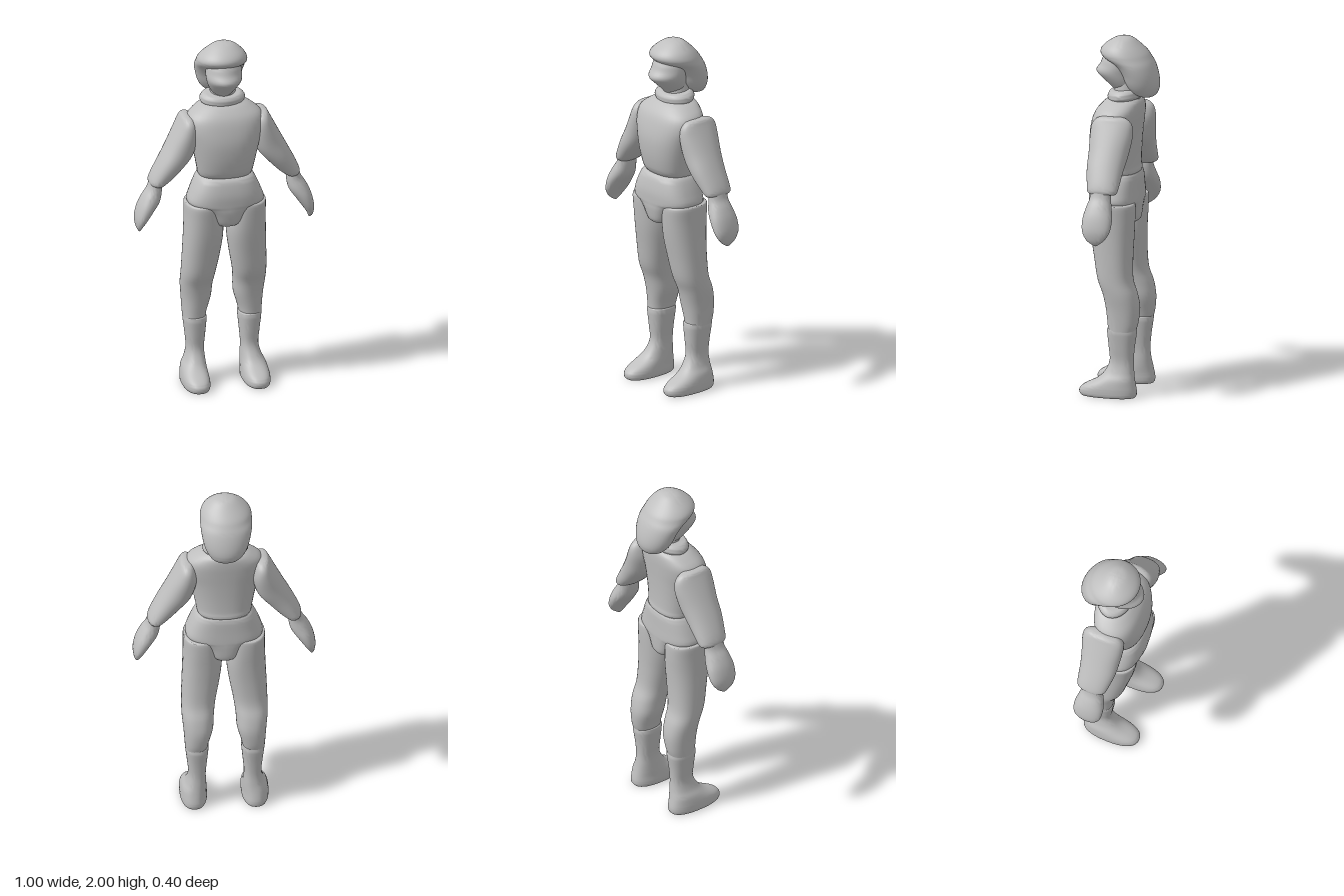
import * as THREE from 'three';
import { toCreasedNormals } from 'three/addons/utils/BufferGeometryUtils.js';

const SEG = 36;

// Smooth interpolation between four values
function spline(a, b, c, d, t) {
  const m0 = (c - a) / 2, m1 = (d - b) / 2;
  return (2 * t ** 3 - 3 * t * t + 1) * b + (t ** 3 - 2 * t * t + t) * m0
    + (3 * t * t - 2 * t ** 3) * c + (t ** 3 - t * t) * m1;
}

// Skin over cross-sections listed from top to bottom:
// [centre x, y, front z, back z, half width, sideways tilt]; power sets squareness
function loft(sections, { power = 2, steps = 4, crease = 0.9, side = 1 } = {}) {
  const rows = [], last = sections.length - 1;
  const at = i => sections[Math.max(0, Math.min(last, i))];
  for (let i = 0; i < last; i++) {
    for (let s = 0; s < steps; s++) {
      rows.push(at(i).map((_, k) => spline(at(i - 1)[k], at(i)[k], at(i + 1)[k], at(i + 2)[k], s / steps)));
    }
  }
  rows.push(sections[last]);
  const pos = [], idx = [];
  const bend = v => Math.sign(v) * Math.abs(v) ** (2 / power);
  for (const [cx, y, zf, zb, rx, tilt] of rows) {
    for (let j = 0; j < SEG; j++) {
      const a = j / SEG * Math.PI * 2;
      const u = bend(Math.cos(a)) * rx, w = bend(Math.sin(a)) * (zf - zb) / 2;
      const t = side * tilt;
      pos.push(side * cx + u * Math.cos(t), y + u * Math.sin(t), (zf + zb) / 2 + w);
    }
  }
  for (let i = 0; i < rows.length - 1; i++) {
    for (let j = 0; j < SEG; j++) {
      const k = (j + 1) % SEG, a = i * SEG + j, b = i * SEG + k;
      idx.push(a, b, a + SEG, b, b + SEG, a + SEG);
    }
  }
  // End caps
  const n = rows.length, base = (n - 1) * SEG;
  for (const r of [rows[0], rows[n - 1]]) pos.push(side * r[0], r[1], (r[2] + r[3]) / 2);
  for (let j = 0; j < SEG; j++) {
    const k = (j + 1) % SEG;
    idx.push(n * SEG, k, j, n * SEG + 1, base + j, base + k);
  }
  const g = new THREE.BufferGeometry();
  g.setAttribute('position', new THREE.Float32BufferAttribute(pos, 3));
  g.setIndex(idx);
  return toCreasedNormals(g, crease);
}

export function createModel() {
  const model = new THREE.Group();
  model.name = 'figure';
  const grey = new THREE.MeshStandardMaterial({ color: 0xbfbfbf });
  grey.name = 'grey plastic';
  const add = (name, geometry) => {
    const mesh = new THREE.Mesh(geometry, grey);
    mesh.name = name;
    model.add(mesh);
    return mesh;
  };

  // Hair: a swept-back cap, open over the face
  add('hair', loft([
    [0, 2.0, 0.015, -0.015, 0.012, 0],
    [0, 1.988, 0.055, -0.05, 0.06, 0],
    [-0.003, 1.95, 0.11, -0.095, 0.11, 0],
    [-0.007, 1.915, 0.132, -0.13, 0.136, 0],
    [-0.007, 1.885, 0.112, -0.15, 0.142, 0],
    [-0.007, 1.85, 0.05, -0.17, 0.142, 0],
    [-0.005, 1.8, 0.01, -0.188, 0.133, 0],
    [-0.004, 1.75, -0.01, -0.198, 0.12, 0],
    [-0.003, 1.71, -0.035, -0.196, 0.1, 0],
    [0, 1.68, -0.075, -0.18, 0.07, 0],
    [0, 1.665, -0.12, -0.15, 0.02, 0],
  ], { crease: 1.2 }));

  // Face with a pointed nose and receding chin
  add('face', loft([
    [-0.005, 1.92, 0.09, -0.08, 0.07, 0],
    [-0.005, 1.88, 0.118, -0.08, 0.094, 0],
    [-0.005, 1.84, 0.135, -0.08, 0.1, 0],
    [-0.005, 1.8, 0.158, -0.08, 0.098, 0],
    [-0.005, 1.76, 0.122, -0.08, 0.086, 0],
    [-0.005, 1.72, 0.078, -0.08, 0.066, 0],
    [-0.005, 1.69, 0.05, -0.08, 0.045, 0],
  ], { power: 1.9 }));

  add('neck', loft([
    [0, 1.76, 0.05, -0.09, 0.065, 0],
    [0, 1.62, 0.06, -0.09, 0.08, 0],
  ]));

  // Rolled collar, higher at the back
  const collar = add('collar', loft([
    [-0.005, 0.03, 0.065, -0.065, 0.085, 0],
    [-0.005, 0.025, 0.082, -0.082, 0.108, 0],
    [-0.005, 0, 0.095, -0.095, 0.127, 0],
    [-0.005, -0.025, 0.085, -0.085, 0.115, 0],
    [-0.005, -0.03, 0.07, -0.07, 0.09, 0],
  ], { crease: 1.3 }));
  collar.position.set(0, 1.675, -0.005);
  collar.rotation.x = 0.13;

  add('torso', loft([
    [0, 1.655, 0.075, -0.085, 0.11, 0],
    [0, 1.635, 0.105, -0.1, 0.15, 0],
    [0, 1.59, 0.143, -0.102, 0.205, 0],
    [0, 1.53, 0.166, -0.098, 0.213, 0],
    [0, 1.45, 0.18, -0.092, 0.192, 0],
    [0, 1.36, 0.176, -0.088, 0.172, 0],
    [0, 1.28, 0.16, -0.088, 0.156, 0],
    [0, 1.25, 0.145, -0.092, 0.15, 0],
    [0, 1.235, 0.13, -0.085, 0.142, 0],
  ], { power: 2.4 }));

  // Hips narrowing to the crotch
  add('hips', loft([
    [0, 1.242, 0.142, -0.088, 0.148, 0],
    [0, 1.22, 0.162, -0.096, 0.165, 0],
    [0, 1.15, 0.177, -0.098, 0.196, 0],
    [0, 1.09, 0.177, -0.1, 0.212, 0],
    [0, 1.07, 0.176, -0.1, 0.165, 0],
    [0, 1.04, 0.174, -0.099, 0.122, 0],
    [0, 0.985, 0.163, -0.095, 0.085, 0],
    [0, 0.965, 0.15, -0.085, 0.07, 0],
    [0, 0.957, 0.135, -0.07, 0.055, 0],
  ], { power: 2.7 }));

  for (const [label, side] of [['left', 1], ['right', -1]]) {
    // Sleeve
    add(label + 'Arm', loft([
      [0.205, 1.592, 0.05, -0.04, 0.022, 0.05],
      [0.205, 1.582, 0.09, -0.08, 0.036, 0.08],
      [0.205, 1.55, 0.118, -0.108, 0.05, 0.2],
      [0.215, 1.49, 0.126, -0.113, 0.068, 0.3],
      [0.252, 1.395, 0.122, -0.1, 0.078, 0.4],
      [0.305, 1.315, 0.117, -0.087, 0.068, 0.45],
      [0.355, 1.245, 0.102, -0.08, 0.055, 0.4],
      [0.38, 1.21, 0.092, -0.075, 0.044, 0.28],
      [0.385, 1.198, 0.08, -0.063, 0.036, 0.2],
    ], { side, power: 2.2 }));

    // Mitten-like hand
    add(label + 'Hand', loft([
      [0.385, 1.215, 0.07, -0.045, 0.034, 0.2],
      [0.392, 1.17, 0.075, -0.045, 0.041, 0.25],
      [0.412, 1.12, 0.09, -0.055, 0.05, 0.35],
      [0.443, 1.065, 0.1, -0.066, 0.045, 0.35],
      [0.469, 1.005, 0.095, -0.06, 0.033, 0.2],
      [0.48, 0.96, 0.07, -0.032, 0.017, 0.1],
      [0.479, 0.935, 0.038, 0, 0.006, 0],
      [0.478, 0.927, 0.022, 0.012, 0.002, 0],
    ], { side, power: 2.2 }));

    // Trouser leg
    add(label + 'Leg', loft([
      [0.125, 1.086, 0.15, -0.088, 0.092, 0],
      [0.125, 1.075, 0.163, -0.097, 0.1, 0],
      [0.121, 1.0, 0.158, -0.096, 0.104, 0],
      [0.12, 0.9, 0.146, -0.09, 0.108, 0],
      [0.13, 0.78, 0.125, -0.086, 0.103, 0],
      [0.143, 0.66, 0.102, -0.091, 0.094, 0],
      [0.148, 0.58, 0.072, -0.118, 0.088, 0],
      [0.147, 0.5, 0.055, -0.133, 0.081, 0],
      [0.155, 0.42, 0.044, -0.127, 0.067, 0],
      [0.158, 0.375, 0.04, -0.115, 0.061, 0],
    ], { side, power: 2.3 }));

    // Boot with a flat sole
    add(label + 'Boot', loft([
      [0.154, 0.388, 0.04, -0.11, 0.059, 0],
      [0.154, 0.37, 0.046, -0.118, 0.064, 0],
      [0.153, 0.28, 0.038, -0.106, 0.055, 0],
      [0.153, 0.2, 0.033, -0.1, 0.048, 0],
      [0.158, 0.14, 0.06, -0.104, 0.056, 0],
      [0.166, 0.1, 0.1, -0.11, 0.067, 0],
      [0.169, 0.06, 0.175, -0.118, 0.073, 0],
      [0.169, 0.035, 0.2, -0.122, 0.075, 0],
      [0.169, 0.012, 0.2, -0.121, 0.074, 0],
      [0.169, 0, 0.19, -0.114, 0.068, 0],
    ], { side, power: 2.4 }));
  }
  return model;
}
